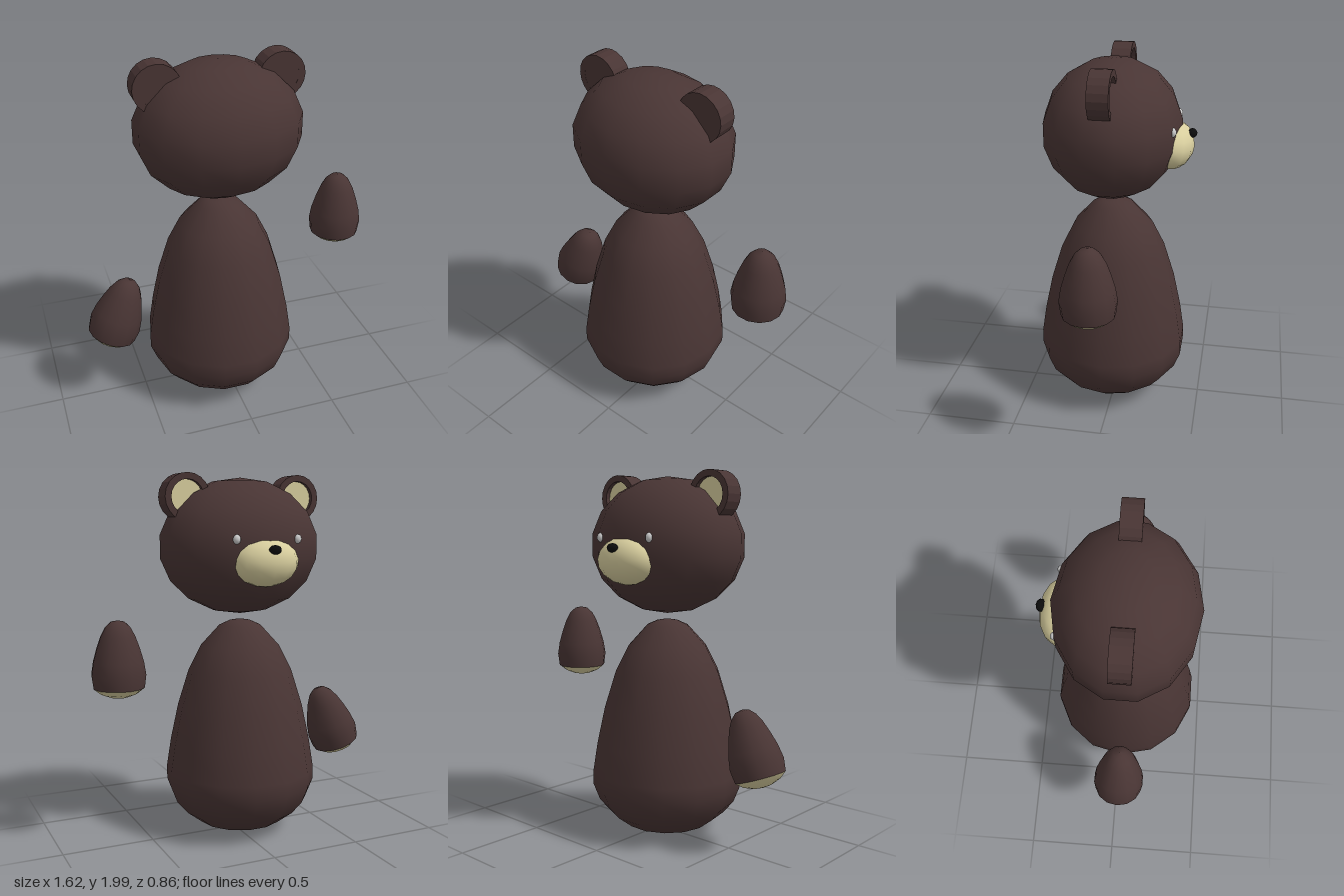
import * as THREE from 'three';

const CX = -0.04, CZ = 0.02; // axis shared by body and head
const material = (color) => new THREE.MeshStandardMaterial({ color });
const brown = material(0x493534);
const tan = material(0xd8ce9e);
const black = material(0x0c0c0c);
const grey = material(0xcccccc);

function add(parent, name, geometry, mat, x = 0, y = 0, z = 0) {
  const mesh = new THREE.Mesh(geometry, mat);
  mesh.name = name;
  mesh.position.set(x, y, z);
  parent.add(mesh);
  return mesh;
}

// Smooth 14-sided turned form, profile listed from bottom to top
function turned(points) {
  return new THREE.LatheGeometry(points.map(([r, y]) => new THREE.Vector2(r, y)), 14, Math.PI / 2);
}

function ellipsoid(rx, ry, rz, w = 14, h = 9) {
  return new THREE.SphereGeometry(1, w, h, Math.PI / 2).scale(rx, ry, rz);
}

// Paw: bullet-shaped sleeve above a rounded pad, origin at the seam
function makePaw(name) {
  const paw = new THREE.Group();
  paw.name = name;
  add(paw, 'pawSleeve', turned([[0.137, 0], [0.146, 0.07], [0.135, 0.14], [0.115, 0.21],
    [0.092, 0.275], [0.068, 0.32], [0.037, 0.35], [0, 0.358]]), brown);
  add(paw, 'pawPad', turned([[0, -0.057], [0.05, -0.05], [0.1, -0.03], [0.137, 0]]), tan);
  return paw;
}

// Ear: round slab with a recessed inner face towards -z
function makeEar(name) {
  const ear = new THREE.Group();
  ear.name = name;
  const R = 0.127, inner = 0.092;
  const rim = new THREE.Shape().absarc(0, 0, R, 0, Math.PI * 2);
  rim.holes.push(new THREE.Path().absarc(0, 0, inner, 0, Math.PI * 2, true));
  const opts = { depth: 0.108, bevelEnabled: false, curveSegments: 10 };
  add(ear, 'earRim', new THREE.ExtrudeGeometry(rim, opts), brown, 0, 0, -0.036);
  add(ear, 'earBack', new THREE.CircleGeometry(inner, 20), brown, 0, 0, 0.0715);
  const face = add(ear, 'earInner', new THREE.CircleGeometry(inner, 20), tan, 0, 0, -0.01);
  face.rotation.y = Math.PI;
  return ear;
}

export function createModel() {
  const bear = new THREE.Group();
  bear.name = 'bear';

  // Pear-shaped body
  add(bear, 'body', turned([[0, 0.005], [0.125, 0.018], [0.24, 0.055], [0.325, 0.12],
    [0.385, 0.19], [0.42, 0.28], [0.42, 0.36], [0.395, 0.52], [0.352, 0.72], [0.29, 0.92],
    [0.22, 1.06], [0.115, 1.175], [0.06, 1.2], [0, 1.21]]), brown, CX, 0, CZ);

  // Head
  add(bear, 'head', ellipsoid(0.456, 0.37, 0.376), brown, CX, 1.61, CZ);

  // Muzzle, tilted to follow the lower face, and nose
  const muzzle = add(bear, 'muzzle', ellipsoid(0.185, 0.127, 0.125), tan, CX, 1.535, -0.292);
  muzzle.rotation.x = -0.2;
  add(bear, 'nose', ellipsoid(0.034, 0.024, 0.026, 10, 7), black, CX, 1.602, -0.402);

  // Mirrored ears and eyes
  for (const [side, s] of [['left', 1], ['right', -1]]) {
    const ear = makeEar(side + 'Ear');
    ear.position.set(CX + s * 0.327, 1.872, 0);
    bear.add(ear);
    add(bear, side + 'Eye', ellipsoid(0.021, 0.025, 0.02, 10, 7), grey, CX + s * 0.175, 1.654, -0.315);
  }

  // Floating paws, one raised and one lowered and tilted
  const raised = makePaw('raisedPaw');
  raised.position.set(0.667, 0.876, CZ);
  bear.add(raised);
  const lowered = makePaw('loweredPaw');
  lowered.position.set(-0.682, 0.433, CZ);
  lowered.rotation.z = -0.356;
  bear.add(lowered);

  return bear;
}
